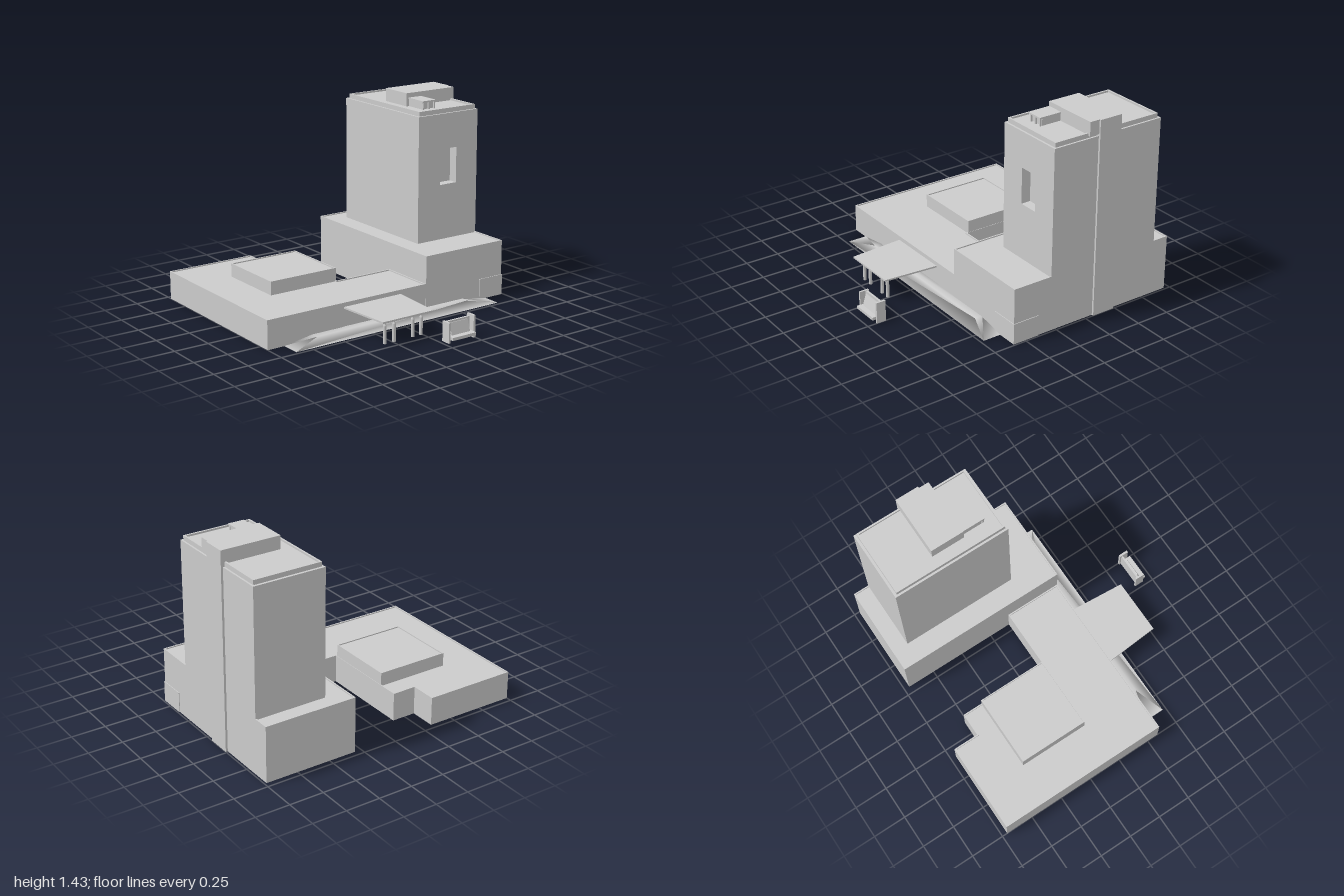
import * as THREE from 'three';

const grey = new THREE.MeshStandardMaterial({ color: 0xcccccc, flatShading: true, side: THREE.DoubleSide });
const smooth = new THREE.MeshStandardMaterial({ color: 0xcccccc, side: THREE.DoubleSide });

function add(parent, name, geometry, material = grey) {
  const mesh = new THREE.Mesh(geometry, material);
  mesh.name = name;
  parent.add(mesh);
  return mesh;
}

// Box given by its limits on each axis
function block(parent, name, [x0, x1], [y0, y1], [z0, z1]) {
  const mesh = add(parent, name, new THREE.BoxGeometry(x1 - x0, y1 - y0, z1 - z0));
  mesh.position.set((x0 + x1) / 2, (y0 + y1) / 2, (z0 + z1) / 2);
  return mesh;
}

const rect = ([x0, x1], [z0, z1]) => [[x0, z1], [x1, z1], [x1, z0], [x0, z0]];
const toVectors = (plan) => plan.map(([x, z]) => new THREE.Vector2(x, -z));

// Floor plan (x, z) raised from y0 to y1, with an optional hole
function raise(parent, name, plan, y0, y1, hole) {
  const shape = new THREE.Shape(toVectors(plan));
  if (hole) shape.holes.push(new THREE.Path(toVectors(hole)));
  const geometry = new THREE.ExtrudeGeometry(shape, { depth: y1 - y0, bevelEnabled: false });
  geometry.rotateX(-Math.PI / 2);
  geometry.translate(0, y0, 0);
  return add(parent, name, geometry);
}

// Move every corner of a right-angled plan inward by t
function inset(plan, t) {
  const n = plan.length;
  return plan.map(([x, z], i) => {
    const [px, pz] = plan[(i + n - 1) % n];
    const [nx, nz] = plan[(i + 1) % n];
    const dx = Math.sign(z - pz) + Math.sign(nz - z);
    const dz = Math.sign(px - x) + Math.sign(x - nx);
    return [x + t * dx, z + t * dz];
  });
}

// Open-bottomed volume: thin walls, and a roof slightly below the parapet
function shell(parent, name, plan, y0, y1, hole, t = 0.01) {
  const group = new THREE.Group();
  group.name = name;
  parent.add(group);
  raise(group, 'walls', plan, y0, y1, inset(plan, t));
  raise(group, 'roof', inset(plan, t), y1 - 0.014, y1 - 0.008, hole);
  return group;
}

// Prism whose bottom and top rectangles differ; corners are [x, z]
function frustum(bottom, top, y0, y1) {
  const positions = [
    ...bottom.flatMap(([x, z]) => [x, y0, z]),
    ...top.flatMap(([x, z]) => [x, y1, z]),
  ];
  const index = [0, 2, 1, 0, 3, 2, 4, 5, 6, 4, 6, 7];
  for (let i = 0; i < 4; i++) {
    const j = (i + 1) % 4;
    index.push(i, j, j + 4, i, j + 4, i + 4);
  }
  const geometry = new THREE.BufferGeometry();
  geometry.setAttribute('position', new THREE.Float32BufferAttribute(positions, 3));
  geometry.setIndex(index);
  geometry.computeVertexNormals();
  return geometry;
}

function buildLowWing(model) {
  const wing = new THREE.Group();
  wing.name = 'lowWing';
  model.add(wing);
  const rear = [[0.3, 0.335], [0.3, -0.09], [-0.155, -0.09], [-0.155, -0.77], [-0.33, -0.77], [-0.33, -0.96], [-1, -0.96]];
  const plan = [[-1, 0.335], ...rear];
  // Lower walls step back behind the entrance
  const notched = [[-1, 0.335], [-0.4, 0.335], [-0.4, 0.325], [0.1, 0.325], [0.1, 0.335], ...rear];
  const upper = rect([-0.695, -0.158], [-0.62, -0.1]);
  raise(wing, 'lowerWalls', notched, 0, 0.14, inset(notched, 0.006));
  shell(wing, 'upperWalls', plan, 0.14, 0.205, inset(upper, 0.01));
  shell(wing, 'upperStorey', upper, 0.19, 0.295, null, 0.008);
}

function buildTower(model) {
  const tower = new THREE.Group();
  tower.name = 'tower';
  model.add(tower);
  const X = [0.455, 0.985];
  shell(tower, 'podium', rect([0.3, 0.985], [-0.96, 0.338]), 0, 0.405);
  block(tower, 'cornerPlinth', [0.78, 0.99], [0, 0.15], [0.14, 0.343]);
  block(tower, 'towerBody', X, [0.393, 1.315], [-0.84, -0.03]);

  // Front wall with the deep window opening
  const front = new THREE.Shape();
  front.moveTo(X[0], 0.393).lineTo(X[1], 0.393).lineTo(X[1], 1.315).lineTo(X[0], 1.315).closePath();
  const opening = new THREE.Path();
  opening.moveTo(0.65, 0.8).lineTo(0.65, 1.06).lineTo(0.795, 1.06).lineTo(0.795, 0.8).closePath();
  front.holes.push(opening);
  const wall = new THREE.ExtrudeGeometry(front, { depth: 0.07, bevelEnabled: false });
  add(tower, 'windowWall', wall).position.z = -0.03;

  // Set-back parapet, lift shaft and machine room
  const crown = rect([0.47, 0.972], [-0.822, 0.025]);
  raise(tower, 'crownParapet', crown, 1.315, 1.348, inset(crown, 0.013));
  raise(tower, 'crownRoof', inset(crown, 0.013), 1.315, 1.335);
  block(tower, 'liftShaft', [0.9, 1], [0, 1.43], [-0.49, -0.315]);
  block(tower, 'machineRoom', [0.56, 0.988], [1.33, 1.43], [-0.49, -0.24]);

  // Small rooftop shelter on posts
  block(tower, 'shelterBody', [0.58, 0.685], [1.33, 1.388], [-0.24, -0.09]);
  block(tower, 'shelterRoof', [0.575, 0.69], [1.386, 1.397], [-0.24, -0.068]);
  for (const x of [0.585, 0.632, 0.68]) {
    block(tower, 'shelterPost', [x - 0.006, x + 0.006], [1.33, 1.388], [-0.084, -0.072]);
  }
}

function buildCanopy(model) {
  const canopy = new THREE.Group();
  canopy.name = 'entranceCanopy';
  model.add(canopy);
  const top = [[-0.365, 0.735], [0.05, 0.735], [0.08, 0.335], [-0.395, 0.335]];
  const under = [[-0.32, 0.69], [0.005, 0.69], [0.035, 0.335], [-0.35, 0.335]];
  add(canopy, 'canopySlab', frustum(top, top, 0.163, 0.175));
  add(canopy, 'canopySoffit', frustum(under, top, 0.143, 0.163));
  // Columns in two pairs, with narrowed necks
  const profile = [[0, 0], [0.012, 0], [0.012, 0.125], [0.007, 0.137], [0.007, 0.15]];
  const column = new THREE.LatheGeometry(profile.map(([r, y]) => new THREE.Vector2(r, y)), 12);
  for (const x of [-0.31, -0.235, -0.08, -0.01]) {
    add(canopy, 'column', column).position.set(x, 0, 0.68);
  }
}

function buildForecourt(model) {
  // Sloping apron along the front
  const base = [[-0.87, 0.475], [0.84, 0.475], [0.84, 0.33], [-0.87, 0.33]];
  const crest = [[-0.65, 0.39], [0.62, 0.39], [0.62, 0.33], [-0.65, 0.33]];
  add(model, 'apron', frustum(base, crest, 0, 0.035), smooth);

  // Free-standing framed stand with a front ledge
  const stand = new THREE.Group();
  stand.name = 'forecourtStand';
  model.add(stand);
  block(stand, 'tallEnd', [0.237, 0.253], [0, 0.155], [0.86, 0.93]);
  block(stand, 'shortEnd', [0.028, 0.042], [0, 0.142], [0.86, 0.93]);
  block(stand, 'backPanel', [0.04, 0.238], [0.012, 0.14], [0.872, 0.886]);
  block(stand, 'ledge', [0.04, 0.238], [0.024, 0.045], [0.886, 0.956]);
  const board = block(stand, 'slopedBoard', [0.06, 0.215], [0.045, 0.13], [0.9, 0.908]);
  board.rotation.x = -0.3;
}

export function createModel() {
  const model = new THREE.Group();
  model.name = 'officeComplex';
  buildLowWing(model);
  buildTower(model);
  buildCanopy(model);
  buildForecourt(model);
  return model;
}
